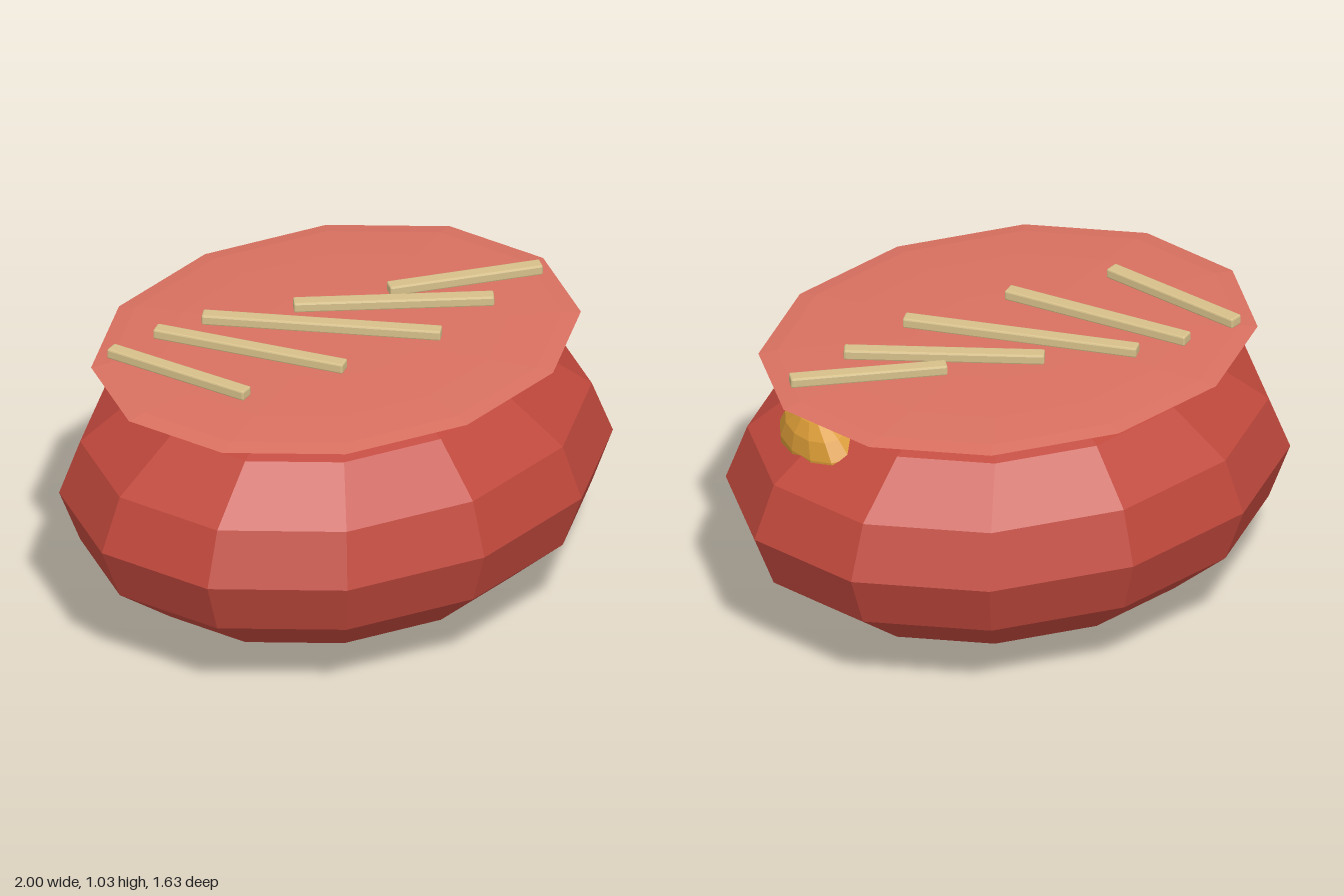
import * as THREE from 'three';
import { RoundedBoxGeometry } from 'three/addons/geometries/RoundedBoxGeometry.js';

const mat = (color) => new THREE.MeshStandardMaterial({ color, flatShading: true });

// Low-poly ellipsoid with 12 sides and 8 rows
function ellipsoid(name, material, radii, position) {
  const geometry = new THREE.SphereGeometry(1, 12, 8).scale(...radii);
  const mesh = new THREE.Mesh(geometry, material);
  mesh.name = name;
  mesh.position.set(...position);
  return mesh;
}

export function createModel() {
  const model = new THREE.Group();
  model.name = 'filledBowl';

  // Rounded body and the thin disc resting on it
  model.add(ellipsoid('body', mat(0xc0483c), [1, 0.5, 0.815], [0, 0.5, 0]));
  model.add(ellipsoid('topDisc', mat(0xd87060), [0.885, 0.025, 0.72], [0, 0.975, 0]));

  // Golden lump sunk into the left shoulder, leaning outward
  const lump = ellipsoid('sideLump', mat(0xd99a36), [0.125, 0.18, 0.21], [0.693, 0.737, 0.05]);
  lump.rotation.z = -0.28;
  model.add(lump);

  // Sticks fanned across the disc, each from (x1, z1) to (x2, z2)
  const sticks = new THREE.Group();
  sticks.name = 'sticks';
  const stickMat = mat(0xd6c08a);
  const ends = [
    [-0.687, -0.355, -0.5, 0.155],
    [-0.487, -0.366, -0.128, 0.214],
    [-0.305, -0.342, 0.265, 0.238],
    [-0.013, -0.217, 0.548, 0.163],
    [0.305, -0.104, 0.802, 0.096],
  ];
  ends.forEach(([x1, z1, x2, z2], i) => {
    const length = Math.hypot(x2 - x1, z2 - z1);
    const stick = new THREE.Mesh(new RoundedBoxGeometry(length, 0.036, 0.05, 1, 0.006), stickMat);
    stick.name = `stick${i + 1}`;
    stick.position.set((x1 + x2) / 2, 1.015, (z1 + z2) / 2);
    stick.rotation.y = -Math.atan2(z2 - z1, x2 - x1);
    sticks.add(stick);
  });
  model.add(sticks);

  return model;
}
